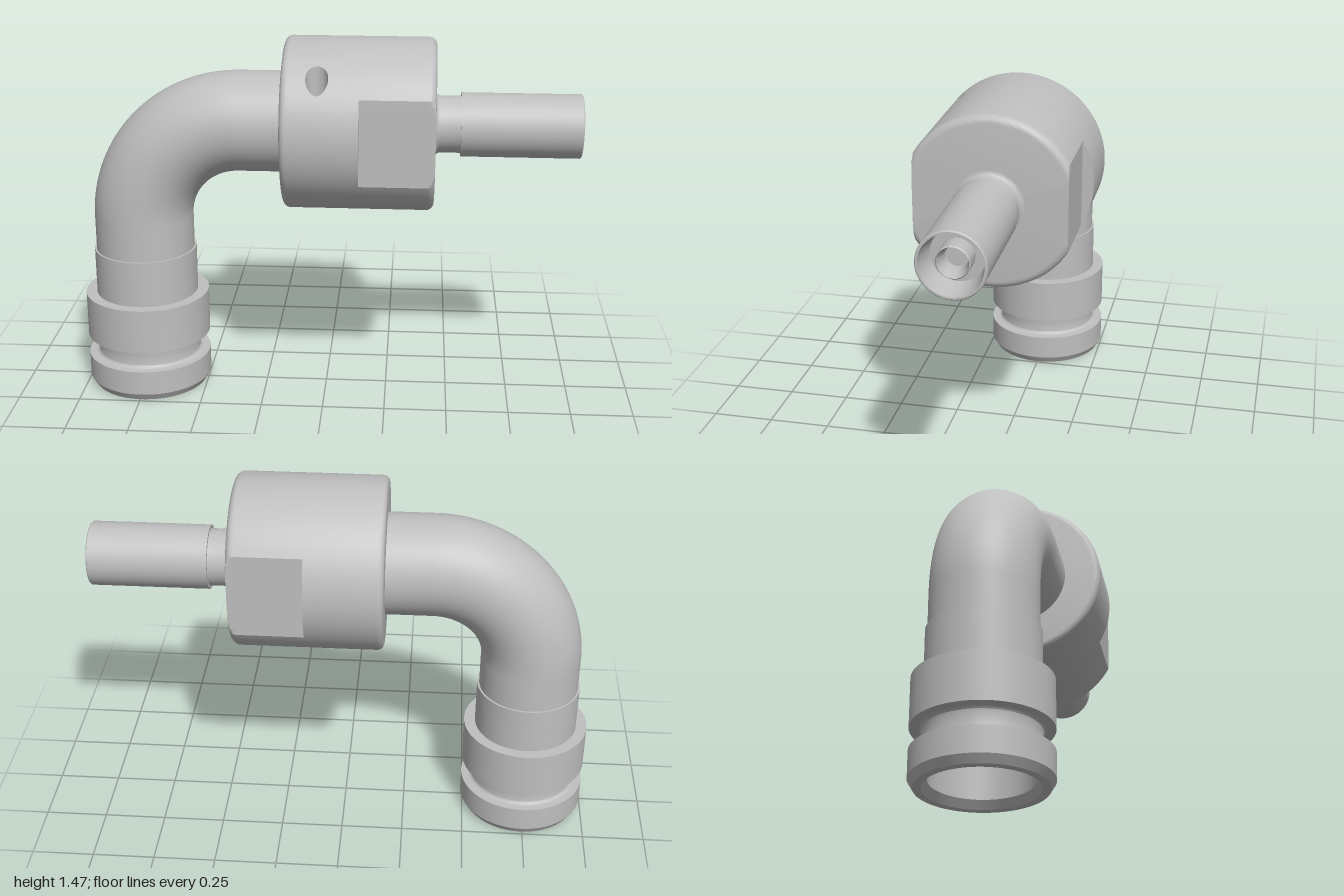
import * as THREE from 'three';
import { mergeGeometries, toCreasedNormals } from 'three/addons/utils/BufferGeometryUtils.js';

const AXIS_Y = 1.13, PIPE_X = -0.745, R = 0.34, FLAT_Z = R * Math.cos(Math.PI / 6);
const rad = THREE.MathUtils.degToRad;

// Revolve a profile of [radius, height] pairs about y
function lathe(profile, segs = 96, start = 0, length = Math.PI * 2) {
  return new THREE.LatheGeometry(profile.map(([r, y]) => new THREE.Vector2(r, y)), segs, start, length);
}
// The same, laid along x
const latheX = (...args) => lathe(...args).rotateZ(-Math.PI / 2);
const crease = (g) => toCreasedNormals(g, 0.36);

// Quarter-round profile points about (r, y)
function fillet(r, y, size, from, to, steps = 6) {
  return Array.from({ length: steps + 1 }, (_, i) => {
    const a = rad(from + ((to - from) * i) / steps);
    return [r + size * Math.cos(a), y + size * Math.sin(a)];
  });
}

// Skin a list of equal-length rows of [x, y, z]
function loft(rows) {
  const n = rows[0].length, index = [];
  for (let i = 0; i < rows.length - 1; i++) {
    for (let j = 0; j < n - 1; j++) {
      const a = i * n + j, b = a + 1, d = a + n, c = d + 1;
      index.push(a, b, d, b, c, d);
    }
  }
  const g = new THREE.BufferGeometry();
  g.setAttribute('position', new THREE.Float32BufferAttribute(rows.flat(2), 3));
  g.setIndex(index);
  return g;
}

// Curved patch of the housing with a blind, vertically drilled hole
function drilledPatch(x0, x1, a0, a1) {
  const hx = -0.02, hz = 0.245, hr = 0.043, segs = 48;
  const ts = Array.from({ length: segs + 1 }, (_, k) => (k / segs) * Math.PI * 2);
  const ring = (r, y) => ts.map((t) => [hx + r * Math.cos(t), y, hz + r * Math.sin(t)]);
  const rows = [ring(0.0005, 0.07), ring(hr, 0.11)];
  for (let s = 0; s <= 8; s++) {
    rows.push(ts.map((t) => {
      const c = Math.cos(t), n = Math.sin(t), m = Math.max(Math.abs(c), Math.abs(n));
      const x = THREE.MathUtils.lerp(hx + hr * c, (x0 + x1) / 2 + ((x1 - x0) / 2) * c / m, s / 8);
      const a = THREE.MathUtils.lerp(Math.asin((hz + hr * n) / R), (a0 + a1) / 2 + ((a1 - a0) / 2) * n / m, s / 8);
      return [x, R * Math.cos(a), R * Math.sin(a)];
    }));
  }
  return loft(rows);
}

function housingGeometry() {
  const x0 = -0.135, x1 = 0.095, a0 = rad(30), a1 = rad(67.5);
  const back = latheX([[0, -0.16], ...fillet(R - 0.025, x0, 0.025, -90, 0)]);
  const middle = latheX([[R, x0], [R, x1]], 86, a1 - Math.PI / 2, Math.PI * 2 - (a1 - a0));
  const collar = latheX([[R, x1], [R, 0.14]]);
  // Wrench section, cut flat on both sides
  const front = latheX([[R, 0.14], [R, 0.1401], ...fillet(R - 0.03, 0.4, 0.03, 0, 90), [0, 0.43]]);
  const p = front.attributes.position;
  for (let i = 0; i < p.count; i++) {
    if (p.getX(i) > 0.14005) p.setZ(i, THREE.MathUtils.clamp(p.getZ(i), -FLAT_Z, FLAT_Z));
  }
  const parts = [back, middle, collar, front, drilledPatch(x0, x1, a0, a1)].map((g) => {
    const flat = g.toNonIndexed();
    flat.deleteAttribute('uv');
    flat.deleteAttribute('normal');
    return flat;
  });
  return crease(mergeGeometries(parts));
}

export function createModel() {
  const model = new THREE.Group();
  model.name = 'elbowFitting';
  const metal = new THREE.MeshStandardMaterial({ color: 0xbfbfbf, side: THREE.DoubleSide });
  metal.name = 'grey metal';
  const add = (name, geometry, x, y) => {
    const mesh = new THREE.Mesh(geometry, metal);
    mesh.name = name;
    mesh.position.set(x, y, 0);
    model.add(mesh);
  };

  // Hollow grooved coupling at the foot, running up to the bend
  add('groovedCoupling', crease(lathe([
    [0.185, 0.73], [0.185, 0.03], [0.205, 0], [0.235, 0], [0.253, 0.03], [0.253, 0.13],
    ...fillet(0.228, 0.148, 0.018, -90, -180, 4), ...fillet(0.228, 0.197, 0.018, 180, 90, 4),
    [0.253, 0.215], [0.253, 0.4], [0.208, 0.4], [0.208, 0.59], [0.2, 0.59], [0.2, 0.73],
  ])), PIPE_X, 0);

  // Quarter bend, outer and inner skin
  for (const [name, r] of [['bendOuter', 0.2], ['bendBore', 0.185]]) {
    add(name, new THREE.TorusGeometry(0.4, r, 64, 48, Math.PI / 2).rotateZ(Math.PI / 2), PIPE_X + 0.4, AXIS_Y - 0.4);
  }
  add('horizontalPipe', crease(latheX([[0.2, -0.345], [0.2, -0.15]])), 0, AXIS_Y);

  // Round housing with wrench flats
  add('housing', housingGeometry(), 0, AXIS_Y);

  // Outlet tube with neck and recessed end
  add('outletTube', crease(latheX([
    ...fillet(0.132, 0.45, 0.02, -90, -180, 5), [0.112, 0.53], [0.126, 0.53], [0.126, 0.996], [0.122, 1],
    [0.115, 1], [0.11, 0.96], [0.098, 0.9], [0, 0.9],
  ], 64)), 0, AXIS_Y);

  // Small hollow pin inside the outlet
  add('centrePin', crease(latheX([
    [0.061, 0.9], [0.061, 0.97], [0.057, 0.975], [0.043, 0.93], [0.043, 0.88], [0, 0.88],
  ], 48)), 0, AXIS_Y);

  return model;
}
